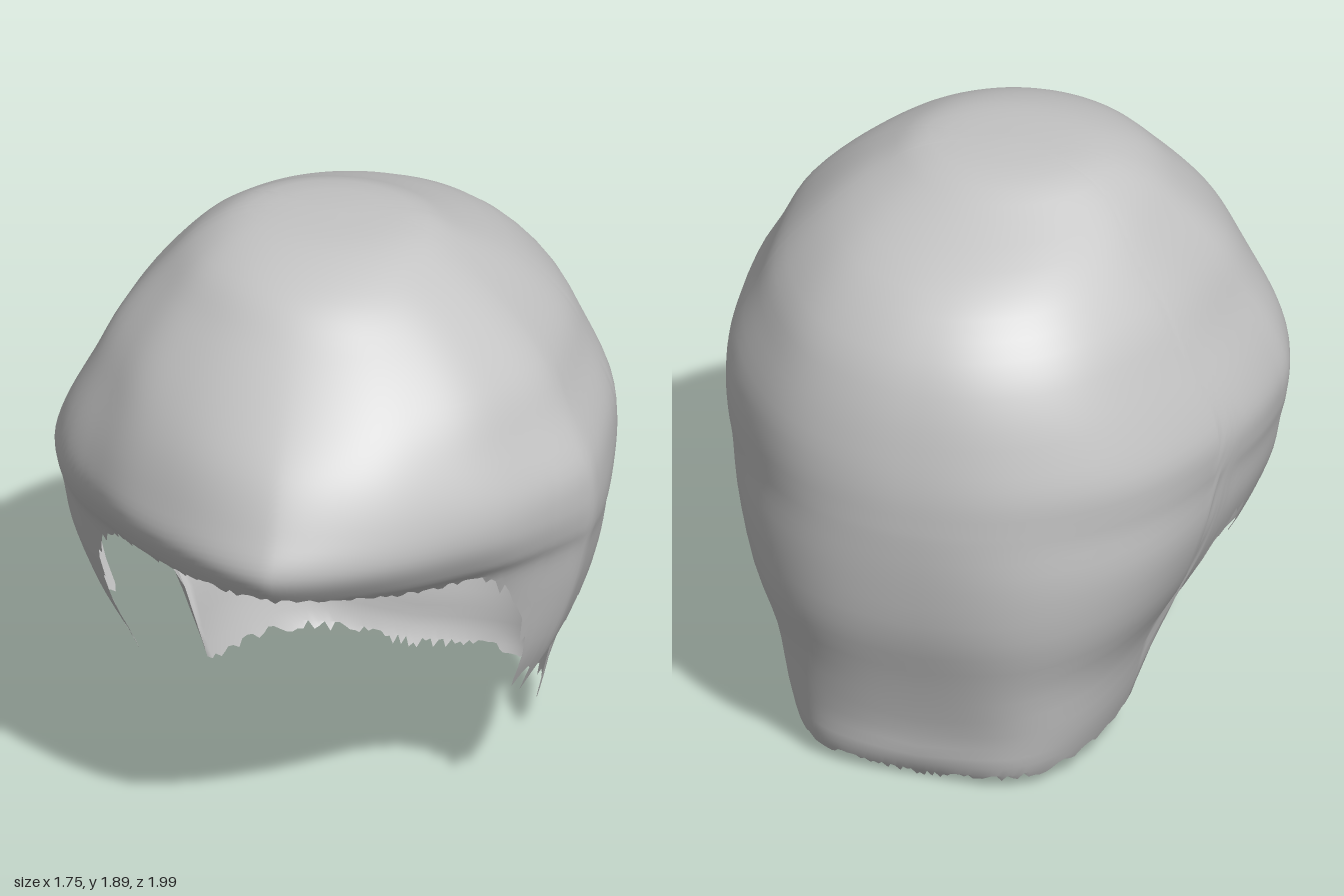
import * as THREE from 'three';
import { mergeVertices } from 'three/addons/utils/BufferGeometryUtils.js';

// Horizontal sections from crown to nape:
// y, half width, front z, back z, z of the widest place, front squareness, back squareness, sideways shift
const SECTIONS = [
  [1.905, 0, -0.05, -0.05, -0.05, 2, 2, -0.02], [1.89, 0.26, 0.2, -0.26, -0.04, 2, 2, -0.02],
  [1.82, 0.41, 0.41, -0.43, -0.01, 2, 2, -0.02], [1.7, 0.55, 0.56, -0.7, 0.02, 1.95, 2.1, 0],
  [1.55, 0.68, 0.72, -0.85, 0.06, 1.85, 2.2, 0.01], [1.4, 0.76, 0.86, -0.925, 0.1, 1.7, 2.25, 0.01],
  [1.25, 0.84, 0.95, -0.965, 0.14, 1.55, 2.25, 0.01], [1.13, 0.87, 1.0, -0.985, 0.15, 1.45, 2.25, 0],
  [1.03, 0.865, 0.95, -0.99, 0.15, 1.38, 2.25, 0], [0.95, 0.845, 0.87, -0.99, 0.15, 1.32, 2.3, 0],
  [0.8, 0.81, 0.75, -0.98, 0.15, 1.35, 2.5, 0], [0.6, 0.73, 0.67, -0.95, 0.15, 1.4, 2.8, 0.01],
  [0.4, 0.615, 0.65, -0.885, 0.15, 1.4, 3.3, 0.02], [0.2, 0.555, 0.64, -0.83, 0.15, 1.4, 3.9, 0.025],
  [0.08, 0.515, 0.62, -0.815, 0.15, 1.4, 4, 0.03], [0, 0.48, 0.6, -0.77, 0.15, 1.4, 4, 0.03],
];

// Hem height by angle from the front (0) to the back (180): fringe, sideburn, ear gap, nape
const HEM = [
  [0, 1.05], [15, 1.03], [27, 1.0], [45, 0.99], [55, 0.98], [61, 0.95], [68, 0.82], [74, 0.66],
  [77, 0.53], [84, 0.53], [87, 0.43], [90, 0.57], [93, 0.56], [95, 0.65], [98, 0.71], [100, 0.75],
  [105, 0.76], [110, 0.69], [112, 0.52], [114, 0.38], [114.8, 0.15], [120, 0.115], [131, 0.09],
  [150, 0.06], [180, 0.035],
];

const last = SECTIONS.length - 1;

// Smooth interpolation between the sections, u from 0 to 1
function sectionAt(u) {
  const s = Math.min(u * last, last - 1e-6), i = Math.floor(s), t = s - i;
  const at = (k) => SECTIONS[Math.max(0, Math.min(last, k))];
  return SECTIONS[0].map((_, k) => {
    const a = at(i - 1)[k], b = at(i)[k], c = at(i + 1)[k], d = at(i + 2)[k];
    return b + 0.5 * t * (c - a + t * (2 * a - 5 * b + 4 * c - d + t * (3 * (b - c) + d - a)));
  });
}

function findU(y) {
  let lo = 0, hi = 1;
  for (let i = 0; i < 30; i++) {
    const mid = (lo + hi) / 2;
    if (sectionAt(mid)[0] > y) lo = mid; else hi = mid;
  }
  return lo;
}

function hemAt(deg) {
  const i = Math.max(1, HEM.findIndex((h) => h[0] >= deg));
  const [a, b] = [HEM[i - 1], HEM[i]];
  return THREE.MathUtils.lerp(a[1], b[1], (deg - a[0]) / (b[0] - a[0]));
}

// Each section is a superellipse with its own front and back halves
function surfacePoint(u, theta) {
  const [y, w, front, back, middle, frontPower, backPower, shift] = sectionAt(u);
  const s = Math.sin(theta), c = Math.cos(theta);
  const p = c > 0 ? frontPower : backPower;
  // gentle locks running down the hair, fading out at the front and back
  const wave = 1 + s * s * Math.min(1, u * 4) * 0.006 * Math.sin(11 * theta - 7 * u);
  const r = wave * Math.pow(Math.abs(s) ** p + Math.abs(c) ** p, -1 / p);
  const z = middle + ((c > 0 ? front : back) - middle) * Math.abs(c) * r;
  return [w * s * r + shift + 0.04 * Math.max(0, z) ** 2, y, z];
}

function hairGeometry(columns = 240, rows = 44) {
  let seed = 7;
  const random = () => (seed = (seed * 16807) % 2147483647) / 2147483647;
  const position = [], index = [];
  for (let j = 0; j < columns; j++) {
    const theta = (j / columns) * Math.PI * 2;
    const deg = Math.min(j, columns - j) * 360 / columns;
    const hem = hemAt(deg);
    const end = findU(hem);
    // ragged strand tips, longest around the ears
    const ragged = deg > 61 && deg < 112 ? 0.08 : 0.03;
    const tip = findU(Math.max(0.005, hem - ragged * random() ** 2));
    for (let i = 0; i <= rows; i++) {
      position.push(...surfacePoint(i < rows ? end * i / (rows - 1) : tip, theta));
    }
  }
  for (let j = 0; j < columns; j++) {
    for (let i = 0; i < rows; i++) {
      const a = j * (rows + 1) + i, b = ((j + 1) % columns) * (rows + 1) + i;
      if (i > 0) index.push(a, a + 1, b);
      index.push(a + 1, b + 1, b);
    }
  }
  let geometry = new THREE.BufferGeometry();
  geometry.setAttribute('position', new THREE.Float32BufferAttribute(position, 3));
  geometry.setIndex(index);
  geometry = mergeVertices(geometry, 1e-5);
  geometry.computeVertexNormals();
  return geometry;
}

export function createModel() {
  const group = new THREE.Group();
  group.name = 'hairpiece';
  const hairGrey = new THREE.MeshStandardMaterial({ color: 0xc4c4c4, side: THREE.DoubleSide });
  hairGrey.name = 'hair grey';
  const hair = new THREE.Mesh(hairGeometry(), hairGrey);
  hair.name = 'hairShell';
  group.add(hair);
  return group;
}
